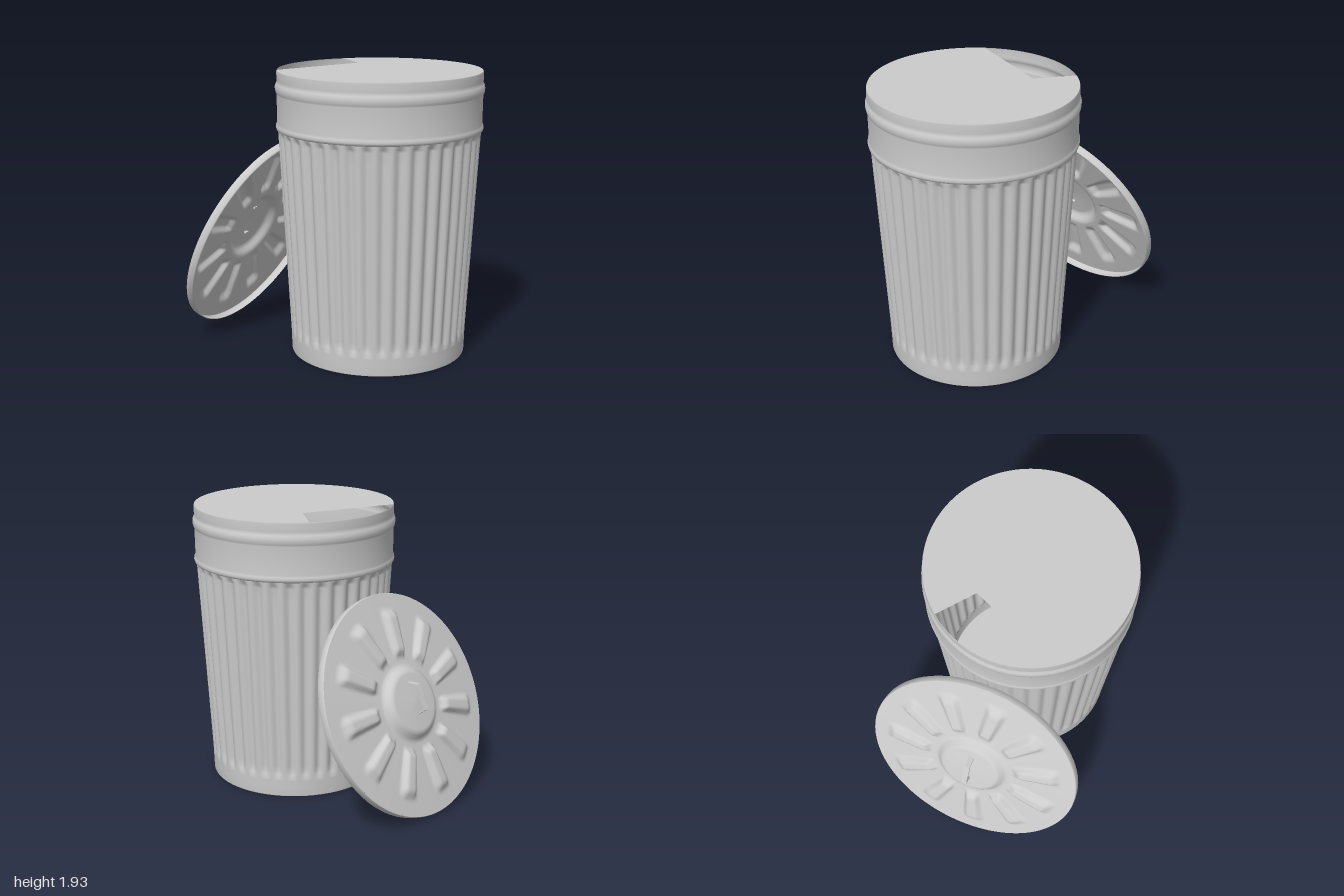
import * as THREE from 'three';
import { mergeVertices } from 'three/addons/utils/BufferGeometryUtils.js';

const material = new THREE.MeshStandardMaterial({ color: 0xcccccc, side: THREE.DoubleSide });
const ramp = THREE.MathUtils.smoothstep;

function addMesh(parent, name, geometry) {
  const mesh = new THREE.Mesh(geometry, material);
  mesh.name = name;
  parent.add(mesh);
  return mesh;
}

// Lathe whose vertices are moved by rule(v, angle), with smooth normals.
function shapedLathe(points, segments, rule) {
  let g = new THREE.LatheGeometry(points.map(([r, y]) => new THREE.Vector2(r, y)), segments);
  const p = g.attributes.position;
  const v = new THREE.Vector3();
  for (let i = 0; i < p.count; i++) {
    v.fromBufferAttribute(p, i);
    rule(v, Math.atan2(v.x, v.z));
    p.setXYZ(i, v.x, v.y, v.z);
  }
  g.deleteAttribute('uv');
  g.deleteAttribute('normal');
  g = mergeVertices(g, 1e-5);
  g.computeVertexNormals();
  return g;
}

function createCan() {
  const can = new THREE.Group();
  can.name = 'can';
  can.position.x = 0.305;

  // Tapered wall with 40 vertical flutes between the base and the upper band
  const wall = [0.12, 0.14, 0.16, 0.18, 0.22, 0.6, 1.0, 1.4, 1.49, 1.51, 1.53, 1.54]
    .map(y => [0.592 + 0.056 * y, y]);
  addMesh(can, 'flutedWall', shapedLathe(wall, 320, (v, a) => {
    const fade = ramp(v.y, 0.12, 0.2) * (1 - ramp(v.y, 1.49, 1.54));
    const groove = Math.pow(0.5 - 0.5 * Math.cos(a * 40), 1.3);
    const k = 1 - 0.036 * fade * groove;
    v.x *= k;
    v.z *= k;
  }));

  // Smooth base ring
  addMesh(can, 'baseRing', shapedLathe(
    [[0.592, 0], [0.595, 0.006], [0.597, 0.06], [0.599, 0.12]], 64, () => {}));

  // Upper band with a lower bead, an upper bead and the rim
  addMesh(can, 'upperBand', shapedLathe([
    [0.677, 1.535], [0.688, 1.54], [0.693, 1.555], [0.69, 1.572], [0.683, 1.585],
    [0.684, 1.68], [0.685, 1.775], [0.691, 1.785], [0.696, 1.805], [0.696, 1.825],
    [0.69, 1.845], [0.682, 1.855], [0.685, 1.87], [0.685, 1.925], [0.682, 1.932],
  ], 64, () => {}));

  const bottom = addMesh(can, 'bottom', new THREE.CircleGeometry(0.592, 64));
  bottom.rotation.x = Math.PI / 2;

  // Flat top with an angular opening on one side
  const top = new THREE.Shape();
  top.absarc(0, 0, 0.682, -2.537, 2.471, false);
  top.lineTo(-0.305, 0.24);
  top.closePath();
  const cap = addMesh(can, 'topWithOpening', new THREE.ShapeGeometry(top, 64));
  cap.rotation.x = -Math.PI / 2;
  cap.position.y = 1.932;
  return can;
}

function createLid() {
  const lid = new THREE.Group();
  lid.name = 'lid';
  lid.position.set(-0.655, 0.69, 0);
  lid.rotation.z = 1.16;

  // Shallow pressed dome: 11 raised radial ribs around a raised centre
  const ribs = 11;
  const profile = [];
  for (let i = 0; i <= 44; i++) profile.push([0.748 * (1 - i / 44), 0]);
  addMesh(lid, 'lidDome', shapedLathe(profile, 220, (v, a) => {
    const r = Math.hypot(v.x, v.z);
    const step = Math.PI * 2 / ribs;
    const t = a - Math.PI;
    const off = Math.abs(t - Math.round(t / step) * step) * r;
    const half = 0.028 + 0.06 * r;
    const across = 1 - ramp(off, half * 0.55, half * 1.2);
    const along = ramp(r, 0.3, 0.36) * (1 - ramp(r, 0.58, 0.65));
    const dome = 0.055 + 0.04 * (1 - r / 0.75);
    const centre = 0.045 * (1 - ramp(r, 0.2, 0.26));
    v.y = dome + centre + 0.036 * across * along;
  }));

  // Rim skirt
  addMesh(lid, 'lidRim', shapedLathe(
    [[0.742, 0], [0.75, 0.004], [0.752, 0.03], [0.752, 0.05], [0.748, 0.055]], 64, () => {}));

  // Thin strap handle
  const outer = [[-0.09, 0.12], [-0.068, 0.212], [0.108, 0.205], [0.142, 0.12]];
  const inner = [[0.13, 0.12], [0.1, 0.193], [-0.058, 0.2], [-0.078, 0.12]];
  const strap = new THREE.Shape([...outer, ...inner].map(([x, y]) => new THREE.Vector2(x, y)));
  const handle = addMesh(lid, 'lidHandle',
    new THREE.ExtrudeGeometry(strap, { depth: 0.036, bevelEnabled: false }));
  handle.position.z = -0.018;
  return lid;
}

export function createModel() {
  const model = new THREE.Group();
  model.name = 'trashCan';
  model.add(createCan(), createLid());
  return model;
}
